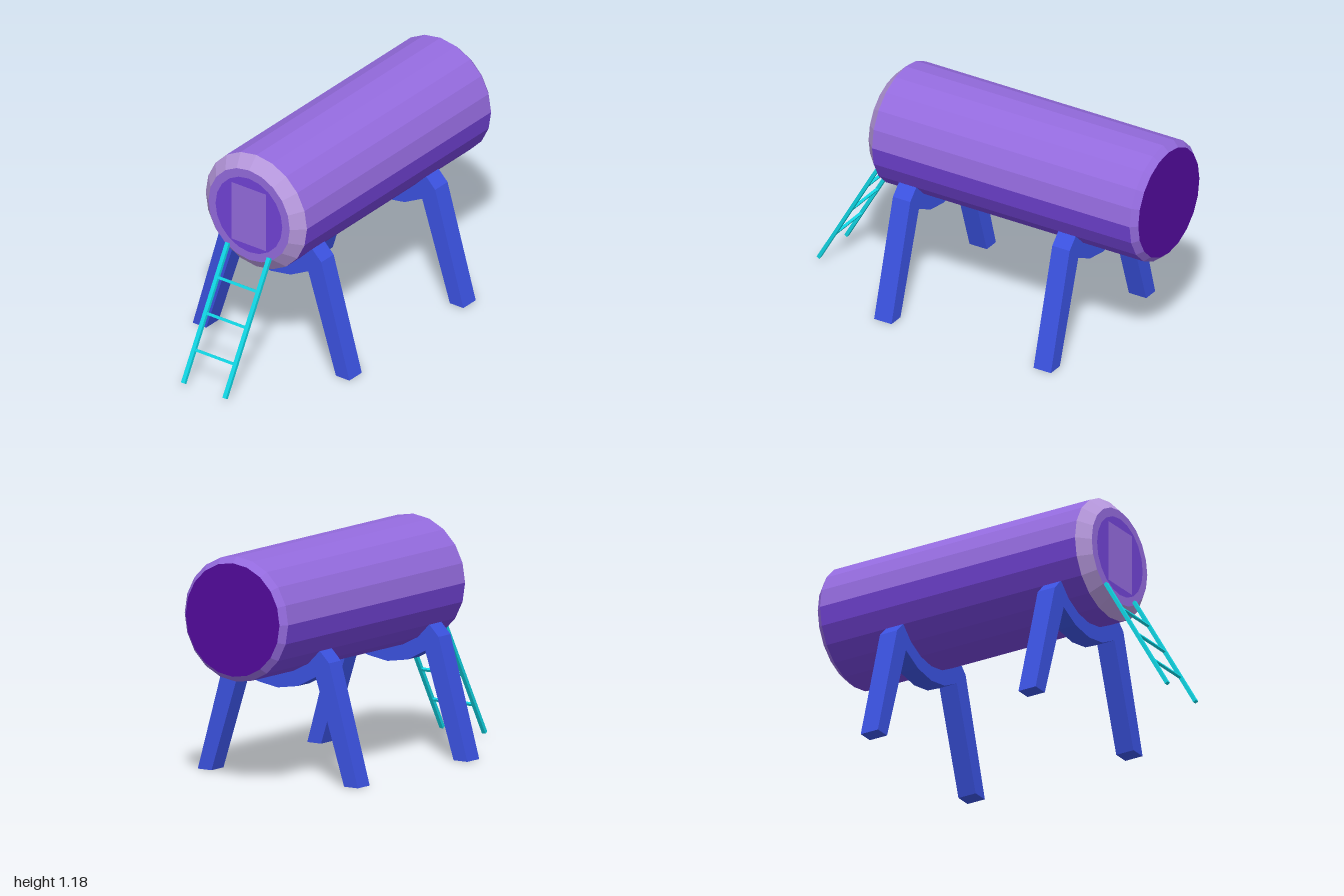
import * as THREE from 'three';

const mat = (name, color) => {
  const m = new THREE.MeshStandardMaterial({ color });
  m.name = name;
  return m;
};

export function createModel() {
  const root = new THREE.Group();
  root.name = 'raisedTunnel';
  const purple = mat('mediumPurple', 0x946bde);
  const deep = mat('deepPurple', 0x7243d6);
  const lilac = mat('lilac', 0xb698dd);
  const violet = mat('darkViolet', 0x520a9c);
  const blue = mat('blue', 0x3b52e0);
  const cyan = mat('cyan', 0x10d6e4);

  const add = (name, geometry, material, parent = root) => {
    const flat = geometry.index ? geometry.toNonIndexed() : geometry;
    flat.computeVertexNormals();
    const mesh = new THREE.Mesh(flat, material);
    mesh.name = name;
    parent.add(mesh);
    return mesh;
  };

  // Barrel lying along z, 20 sides
  const CY = 0.865, R = 0.32, SIDES = 20;
  const ring = (name, rFront, rBack, zFront, zBack, material, start = 0, sweep = Math.PI * 2) => {
    const segments = Math.round(SIDES * sweep / (Math.PI * 2));
    const g = new THREE.CylinderGeometry(rFront, rBack, zFront - zBack, segments, 1, true, start, sweep);
    g.rotateX(Math.PI / 2).translate(0, CY, (zFront + zBack) / 2);
    return add(name, g, material);
  };
  ring('barrelUpper', R, R, 0.56, -0.967, purple, Math.PI / 2, Math.PI);
  ring('barrelLower', R, R, 0.56, -0.967, deep, -Math.PI / 2, Math.PI);
  ring('frontBevel', 0.257, R, 0.62, 0.56, lilac);
  ring('backBevel', R, 0.29, -0.967, -1, purple);

  // End caps and painted entrance
  const frontCap = new THREE.CircleGeometry(0.257, SIDES).translate(0, CY, 0.62);
  add('frontCap', frontCap, purple);
  add('entranceDisc', new THREE.CircleGeometry(0.211, SIDES).translate(0, CY, 0.622), deep);
  add('door', new THREE.PlaneGeometry(0.22, 0.325).translate(0, 0.859, 0.624), purple);
  add('backCap', new THREE.CircleGeometry(0.29, SIDES).rotateY(Math.PI).translate(0, CY, -1), violet);

  // Cradle supports with splayed legs
  const arc = (radius, k) => {
    const a = k * Math.PI / 10;
    return [radius * Math.sin(a), CY - radius * Math.cos(a)];
  };
  const outline = [[-0.495, 0], [-0.41, 0]];
  for (let k = -2; k <= 2; k++) outline.push(arc(0.4, k));
  outline.push([0.41, 0], [0.495, 0], [0.317, 0.62], [0.26, 0.677]);
  for (let k = 2; k >= -2; k--) outline.push(arc(0.317, k));
  outline.push([-0.26, 0.677], [-0.317, 0.62]);
  const shape = new THREE.Shape(outline.map(([x, y]) => new THREE.Vector2(x, y)));
  for (const [name, z] of [['frontSupport', 0.335], ['backSupport', -0.61]]) {
    const g = new THREE.ExtrudeGeometry(shape, { depth: 0.103, bevelEnabled: false });
    add(name, g.translate(0, 0, z), blue);
  }

  // Leaning ladder
  const ladder = new THREE.Group();
  ladder.name = 'ladder';
  ladder.position.set(0, 0.342, 0.808);
  ladder.rotation.x = -0.518;
  root.add(ladder);
  for (const s of [-1, 1]) {
    add(s > 0 ? 'leftRail' : 'rightRail',
      new THREE.BoxGeometry(0.022, 0.743, 0.018).translate(s * 0.131, 0, 0), cyan, ladder);
  }
  for (const y of [-0.193, 0, 0.19]) {
    add('rung', new THREE.BoxGeometry(0.25, 0.014, 0.014).translate(0, y, 0), cyan, ladder);
  }

  return root;
}
